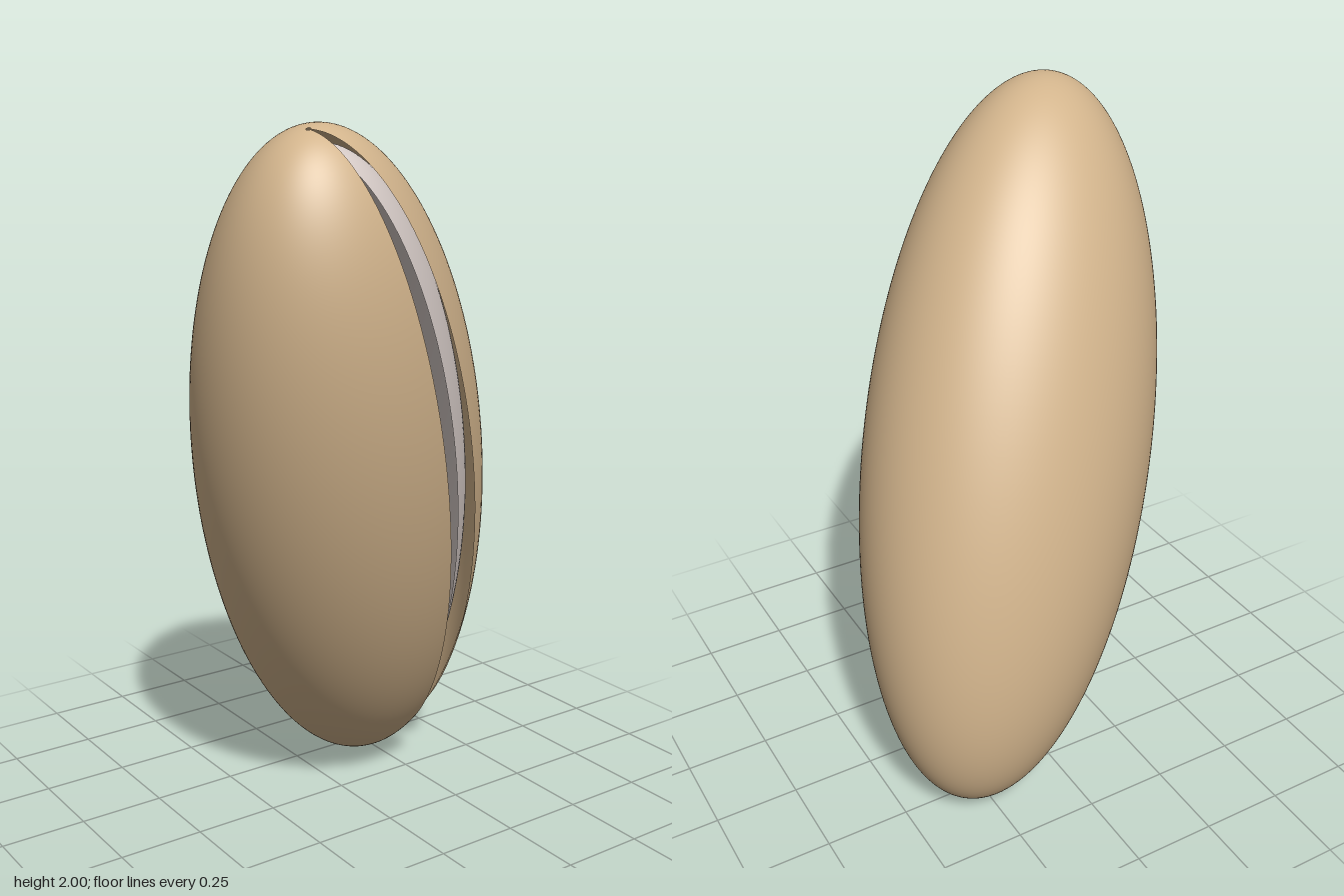
import * as THREE from 'three';

const shellMaterial = new THREE.MeshStandardMaterial({ color: 0xd2b48c, side: THREE.DoubleSide });
const liningMaterial = new THREE.MeshStandardMaterial({ color: 0xd7ccc8, side: THREE.DoubleSide });

const SLIT = 0.166; // half angle of the opening, in radians
const PIN = 0.016; // tiny opening at each tip

// Ellipsoid skin split open along +x, from tip to tip along y
function splitSkin(name, material, rx, ry, rz) {
  const geometry = new THREE.SphereGeometry(
    1, 128, 96, Math.PI + SLIT, 2 * Math.PI - 2 * SLIT, PIN, Math.PI - 2 * PIN);
  geometry.scale(rx, ry, rz);
  const mesh = new THREE.Mesh(geometry, material);
  mesh.name = name;
  return mesh;
}

export function createModel() {
  const seed = new THREE.Group();
  seed.name = 'splitSeed';

  // Outer shell and the pale lining set a little inside it
  const thickness = 0.05;
  const radii = [0.397, 1.07, 0.46];
  seed.add(splitSkin('outerShell', shellMaterial, ...radii));
  seed.add(splitSkin('innerLining', liningMaterial, ...radii.map((r) => r - thickness)));

  // Lean the long axis and turn the slit to the side
  const long = new THREE.Vector3(0.275, 0.918, 0.285).normalize();
  const slit = new THREE.Vector3(0.891, -0.133, -0.433);
  const across = new THREE.Vector3().crossVectors(slit, long).normalize();
  slit.crossVectors(long, across);
  seed.quaternion.setFromRotationMatrix(new THREE.Matrix4().makeBasis(slit, long, across));
  seed.position.y = 1;

  const model = new THREE.Group();
  model.name = 'seedModel';
  model.add(seed);
  return model;
}
